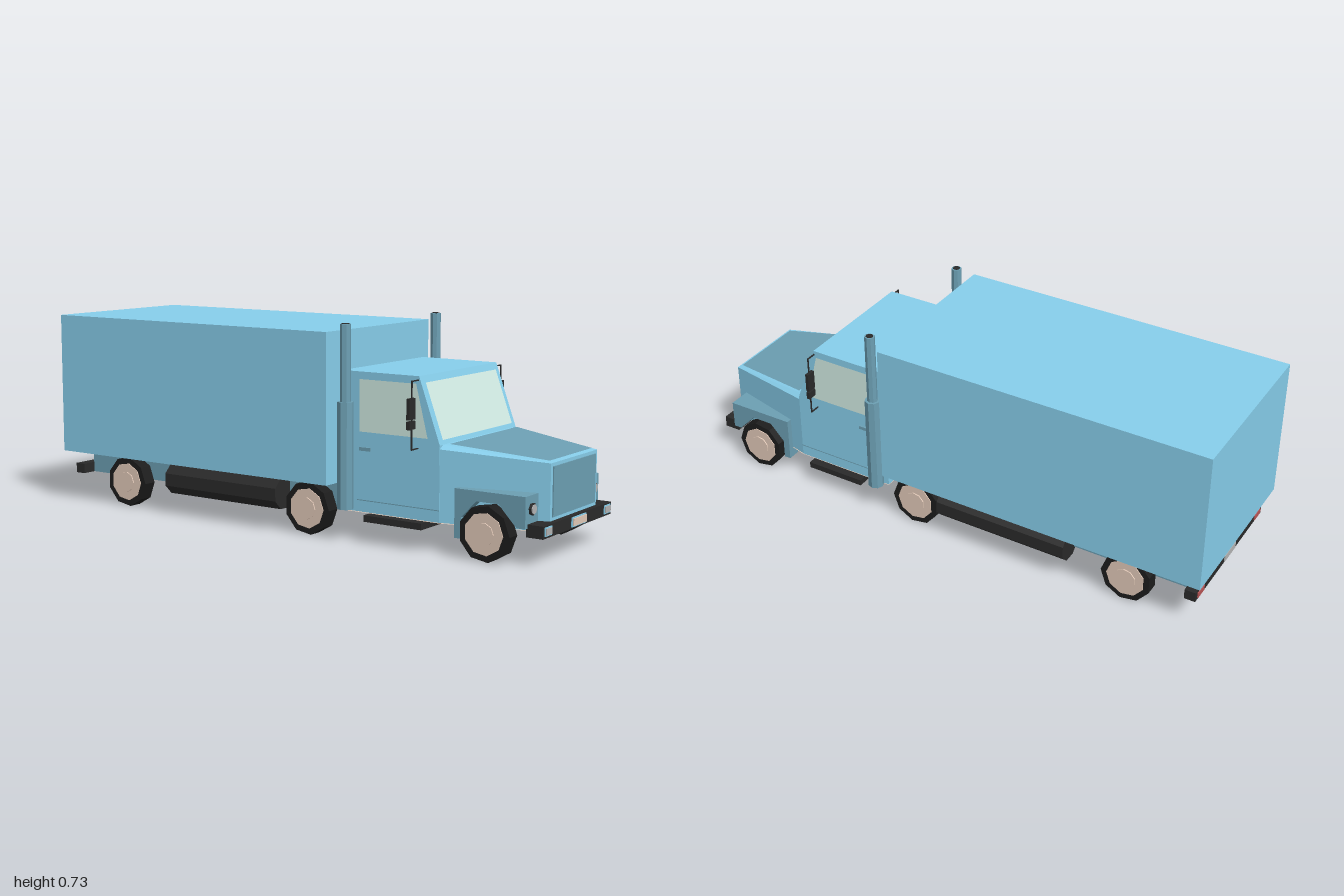
import * as THREE from 'three';
import { ConvexGeometry } from 'three/addons/geometries/ConvexGeometry.js';

const mat = (color, extra = {}) => new THREE.MeshStandardMaterial({ color, flatShading: true, ...extra });
const blue = mat(0x87ceeb), steel = mat(0x6c9fb3), black = mat(0x2a2a2a), rubber = mat(0x1c1c1c);
const glass = mat(0xd2ece4, { side: THREE.DoubleSide }), beige = mat(0xe2c9b8, { side: THREE.DoubleSide });
const grey = mat(0xb4b4b4), red = mat(0xb85555);
const panelBlue = mat(0x6c9fb3, { side: THREE.DoubleSide });

export function createModel() {
  const truck = new THREE.Group();
  truck.name = 'boxTruck';

  const add = (name, geometry, material, parent = truck) => {
    const mesh = new THREE.Mesh(geometry, material);
    mesh.name = name;
    parent.add(mesh);
    return mesh;
  };
  // box given by its limits on each axis
  const box = (name, material, [x0, x1], [y0, y1], [z0, z1], parent) =>
    add(name, new THREE.BoxGeometry(x1 - x0, y1 - y0, z1 - z0)
      .translate((x0 + x1) / 2, (y0 + y1) / 2, (z0 + z1) / 2), material, parent);
  // side profile in (z, y) extruded between two x values
  const prism = (name, material, profile, x0, x1, parent) => {
    const shape = new THREE.Shape(profile.map(([z, y]) => new THREE.Vector2(z, y)));
    const g = new THREE.ExtrudeGeometry(shape, { depth: x1 - x0, bevelEnabled: false });
    return add(name, g.rotateY(-Math.PI / 2).translate(x1, 0, 0), material, parent);
  };
  // flat four-cornered panel
  const quad = (name, material, a, b, c, d, parent) => {
    const g = new THREE.BufferGeometry();
    g.setAttribute('position', new THREE.Float32BufferAttribute([a, b, c, a, c, d].flat(), 3));
    g.computeVertexNormals();
    return add(name, g, material, parent);
  };
  const disc = (name, material, r, depth, sides, parent) =>
    add(name, new THREE.CylinderGeometry(r, r, depth, sides), material, parent);

  // Cargo box and chassis
  box('cargoBox', blue, [-0.317, 0.317], [0.187, 0.7], [-1, 0.22]);
  box('chassis', steel, [-0.225, 0.225], [0.1, 0.187], [-0.936, 0.22]);

  // Cab with windscreen
  prism('cab', blue, [[0.24, 0.1], [0.62, 0.1], [0.62, 0.352], [0.54, 0.57], [0.24, 0.57]], -0.25, 0.25);
  const slopeZ = y => 0.62 - (y - 0.352) * 0.08 / 0.218 + 0.003;
  const [w0, w1] = [0.367, 0.548];
  quad('windscreen', glass, [-0.227, w0, slopeZ(w0)], [0.227, w0, slopeZ(w0)],
    [0.227, w1, slopeZ(w1)], [-0.227, w1, slopeZ(w1)]);
  box('underCabStep', black, [-0.278, 0.278], [0.074, 0.096], [0.345, 0.57]);

  // Tapered bonnet, its top panel and grille
  const bonnet = [];
  for (const s of [-1, 1]) {
    for (const [x, y, z] of [[0.25, 0.1, 0.615], [0.25, 0.34, 0.615], [0.23, 0.353, 0.615],
      [0.162, 0.1, 0.972], [0.162, 0.318, 0.972]]) bonnet.push(new THREE.Vector3(s * x, y, z));
  }
  add('bonnet', new ConvexGeometry(bonnet), blue);
  quad('bonnetPanel', panelBlue, [-0.148, 0.324, 0.96], [0.148, 0.324, 0.96],
    [0.222, 0.356, 0.64], [-0.222, 0.356, 0.64]);
  box('grille', steel, [-0.148, 0.148], [0.145, 0.307], [0.965, 0.976]);

  // Floor under cab and bonnet
  quad('cabFloor', beige, [-0.25, 0.098, 0.24], [0.25, 0.098, 0.24], [0.25, 0.098, 0.62], [-0.25, 0.098, 0.62]);
  quad('bonnetFloor', beige, [-0.25, 0.098, 0.62], [0.25, 0.098, 0.62], [0.162, 0.098, 0.97], [-0.162, 0.098, 0.97]);

  // Bumpers with plates and lamps
  prism('frontBumper', black, [[0.93, 0.092], [0.99, 0.092], [0.99, 0.133], [0.93, 0.133]], -0.24, 0.24);
  box('frontPlateRim', blue, [-0.05, 0.05], [0.097, 0.129], [0.985, 0.994]);
  box('frontPlate', beige, [-0.045, 0.045], [0.101, 0.125], [0.99, 0.998]);
  box('rearBumper', black, [-0.28, 0.28], [0.1, 0.136], [-0.974, -0.934]);
  box('rearPlate', grey, [-0.045, 0.045], [0.106, 0.13], [-0.978, -0.97]);

  // Wheel: tyre, hub face and raised centre ring
  const wheel = (name, s, z) => {
    const g = new THREE.Group();
    g.name = name;
    disc('tyre', rubber, 0.092, 0.05, 9, g);
    disc('hub', beige, 0.07, 0.056, 9, g);
    disc('hubCap', beige, 0.038, 0.064, 9, g);
    g.rotation.z = Math.PI / 2;
    g.position.set(s * 0.25, 0.091, z);
    truck.add(g);
  };

  for (const s of [-1, 1]) {
    const side = s > 0 ? 'left' : 'right';
    const span = (a, b) => s > 0 ? [a, b] : [-b, -a];

    wheel(side + 'FrontWheel', s, 0.8);
    wheel(side + 'MiddleWheel', s, 0.11);
    wheel(side + 'RearWheel', s, -0.72);

    // Fender with angular wheel arch and rear flap
    prism(side + 'Fender', steel, [[0.935, 0.12], [0.935, 0.222], [0.68, 0.222], [0.68, 0.06],
      [0.705, 0.06], [0.705, 0.13], [0.76, 0.188], [0.84, 0.188], [0.895, 0.13], [0.905, 0.12]],
    ...span(0.16, 0.255));

    // Headlamp and bumper lamp
    const rim = disc(side + 'HeadlampRim', black, 0.02, 0.012, 7);
    const lamp = disc(side + 'Headlamp', grey, 0.016, 0.018, 7);
    for (const m of [rim, lamp]) {
      m.rotation.x = Math.PI / 2;
      m.position.set(s * 0.215, 0.178, 0.937);
    }
    box(side + 'BumperLampRim', blue, span(0.186, 0.231), [0.099, 0.128], [0.985, 0.993]);
    box(side + 'BumperLamp', grey, span(0.19, 0.227), [0.103, 0.124], [0.988, 0.996]);
    box(side + 'TailLamp', red, span(0.215, 0.265), [0.108, 0.128], [-0.978, -0.97]);

    // Side window, door handle and sill seam
    const x = s * 0.2515;
    quad(side + 'SideWindow', glass, [x, 0.37, 0.31], [x, 0.37, 0.575], [x, 0.545, 0.53], [x, 0.545, 0.31]);
    box(side + 'DoorHandle', steel, span(0.25, 0.257), [0.307, 0.319], [0.312, 0.355]);
    box(side + 'SillSeam', steel, span(0.249, 0.251), [0.138, 0.141], [0.3, 0.62]);

    // Mirror bracket with two mirrors
    const mirror = new THREE.Group();
    mirror.name = side + 'Mirror';
    truck.add(mirror);
    for (const y of [0.335, 0.557]) box('bracketArm', black, span(0.249, 0.29), [y - 0.002, y + 0.002], [0.535, 0.539], mirror);
    box('bracketPost', black, span(0.286, 0.29), [0.335, 0.557], [0.535, 0.539], mirror);
    box('mainMirror', black, span(0.27, 0.306), [0.433, 0.502], [0.528, 0.54], mirror);
    box('lowerMirror', black, span(0.27, 0.306), [0.401, 0.428], [0.528, 0.54], mirror);

    // Exhaust stack: wide lower sleeve, narrow pipe, dark mouth
    const stack = new THREE.Group();
    stack.name = side + 'ExhaustStack';
    disc('sleeve', steel, 0.028, 0.36, 8, stack).position.y = 0.29;
    disc('pipe', steel, 0.0185, 0.26, 8, stack).position.y = 0.597;
    disc('mouth', black, 0.013, 0.004, 8, stack).position.y = 0.727;
    stack.position.set(s * 0.281, 0, 0.273);
    truck.add(stack);

    // Eight-sided fuel tank along the chassis
    const tank = disc(side + 'FuelTank', black, 0.0585, 0.5, 8);
    tank.geometry.rotateY(Math.PI / 8).rotateX(Math.PI / 2);
    tank.position.set(s * 0.254, 0.128, -0.25);
  }
  return truck;
}
